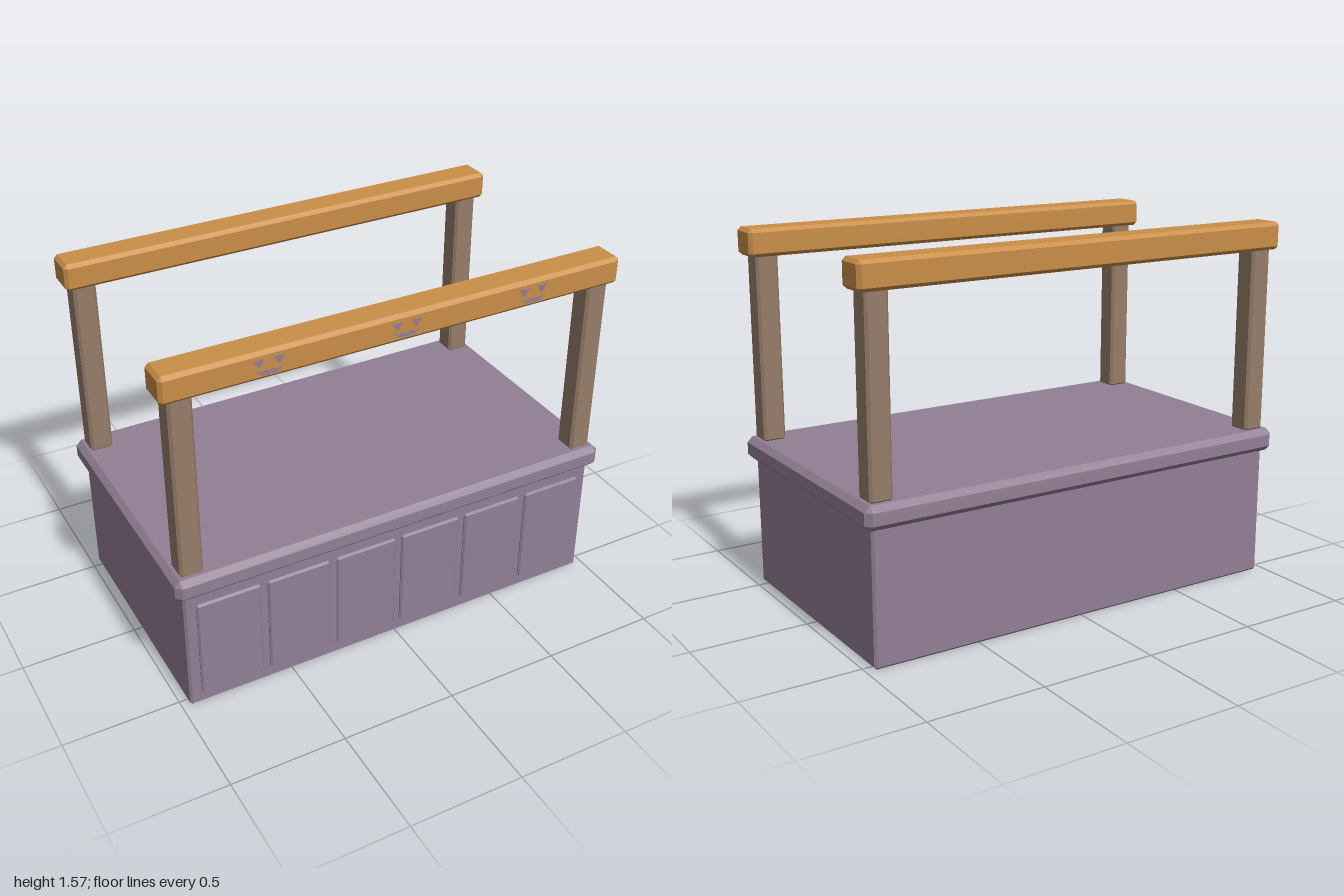
import * as THREE from 'three';
import { ConvexGeometry } from 'three/addons/geometries/ConvexGeometry.js';

const material = (name, color) => {
  const m = new THREE.MeshStandardMaterial({ color });
  m.name = name;
  return m;
};

// Box with flat chamfers on every edge, given by its lower and upper corners
function chamferBox(name, mat, [x0, y0, z0], [x1, y1, z1], c) {
  const half = [(x1 - x0) / 2, (y1 - y0) / 2, (z1 - z0) / 2];
  const points = [];
  for (const sx of [-1, 1]) for (const sy of [-1, 1]) for (const sz of [-1, 1]) {
    for (let full = 0; full < 3; full++) {
      const p = half.map((h, i) => (i === full ? h : h - c));
      points.push(new THREE.Vector3(sx * p[0], sy * p[1], sz * p[2]));
    }
  }
  const mesh = new THREE.Mesh(new ConvexGeometry(points), mat);
  mesh.position.set((x0 + x1) / 2, (y0 + y1) / 2, (z0 + z1) / 2);
  mesh.name = name;
  return mesh;
}

// Thin painted plate from a 2D outline
function plate(name, mat, outline) {
  const shape = new THREE.Shape(outline.map(([x, y]) => new THREE.Vector2(x, y)));
  const geometry = new THREE.ExtrudeGeometry(shape, { depth: 0.003, bevelEnabled: false });
  const mesh = new THREE.Mesh(geometry, mat);
  mesh.name = name;
  return mesh;
}

export function createModel() {
  const purple = material('dusty purple', 0x927f95);
  const orange = material('orange wood', 0xc98e48);
  const brown = material('brown wood', 0x967d6a);
  const model = new THREE.Group();
  model.name = 'marketStall';

  // Counter body and overhanging top
  model.add(chamferBox('counterBody', purple, [-0.965, 0, -0.543], [0.965, 0.57, 0.543], 0.01));
  model.add(chamferBox('counterTop', purple, [-1, 0.565, -0.577], [1, 0.665, 0.577], 0.024));

  // Six raised panels along the front
  for (let i = 0; i < 6; i++) {
    const x = (i - 2.5) * 0.31;
    model.add(chamferBox('frontPanel', purple, [x - 0.14, 0.06, 0.53], [x + 0.14, 0.515, 0.555], 0.008));
  }

  // Corner posts, and one beam on each pair
  for (const side of [-1, 1]) {
    for (const x of [-0.917, 0.917]) {
      const z = side * 0.49;
      model.add(chamferBox('post', brown, [x - 0.049, 0.66, z - 0.05], [x + 0.049, 1.47, z + 0.05], 0.011));
    }
    const z = side * 0.49;
    model.add(chamferBox('beam', orange, [-1, 1.455, z - 0.07], [1, 1.572, z + 0.07], 0.015));
  }

  // Carved faces on the front beam
  for (const x of [-0.575, 0, 0.575]) {
    const face = new THREE.Group();
    face.name = 'carvedFace';
    for (const e of [-0.042, 0.042]) {
      face.add(plate('eye', purple, [[e - 0.023, 1.542], [e, 1.508], [e + 0.023, 1.542]]));
    }
    face.add(plate('mouth', purple, [
      [-0.06, 1.498], [-0.03, 1.477], [0.03, 1.477], [0.06, 1.498],
      [0.03, 1.491], [0.018, 1.498], [0, 1.491], [-0.018, 1.498], [-0.03, 1.491],
    ]));
    face.position.set(x, 0, 0.559);
    model.add(face);
  }
  return model;
}
